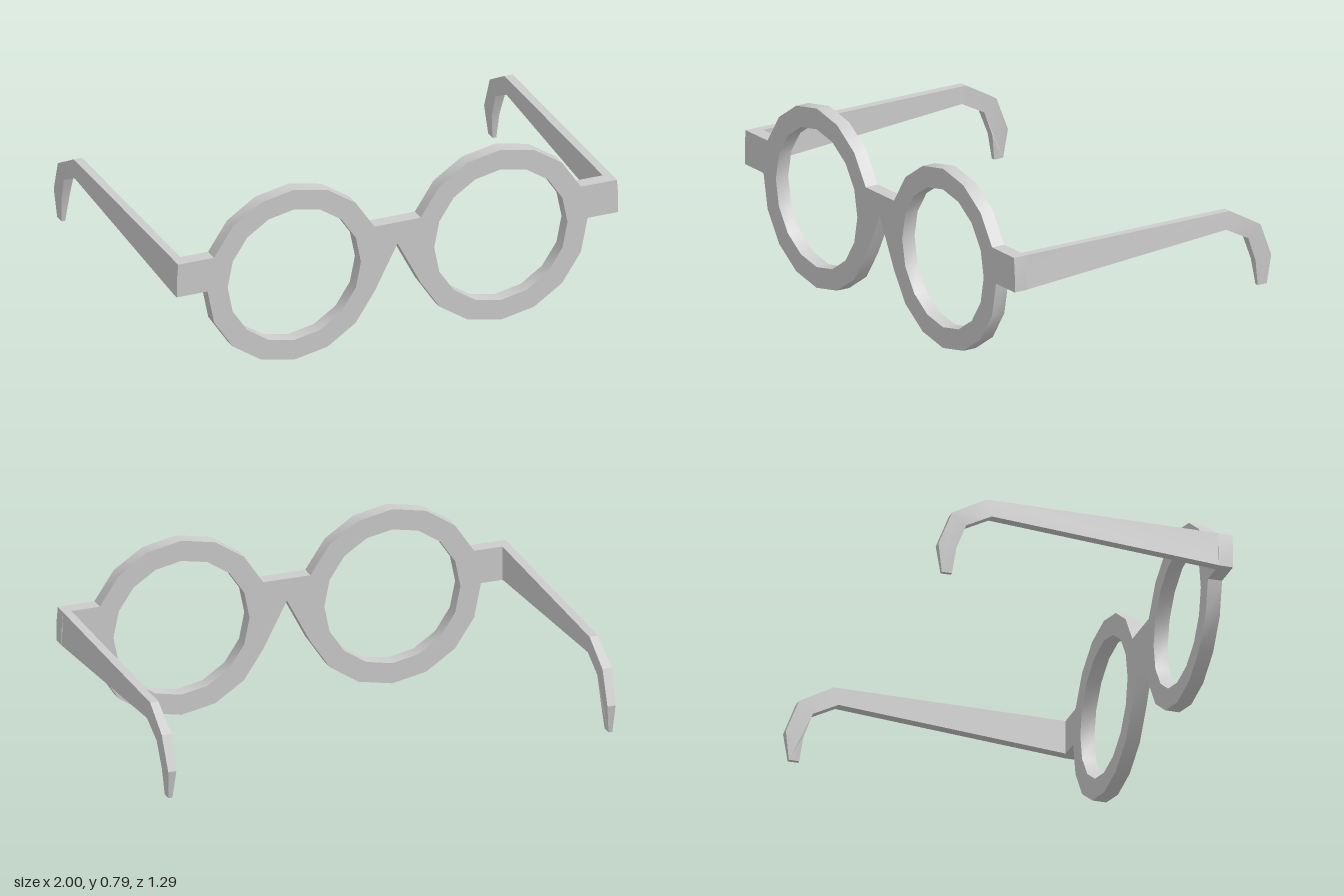
import * as THREE from 'three';
import { toCreasedNormals } from 'three/addons/utils/BufferGeometryUtils.js';

const RIM_X = 0.468, RIM_Y = 0.393, OUTER = 0.393, INNER = 0.302, SIDES = 16;
const FRONT_Z = 0.645, BACK_Z = 0.583;
const ARM_IN = 0.957, ARM_TOP = 0.994; // inner face and outer top edge of an arm

// Rim corner k, counted from the top towards the outside
function rimPoint(k, radius) {
  const a = (k / SIDES) * Math.PI * 2;
  return new THREE.Vector2(RIM_X + Math.sin(a) * radius, RIM_Y + Math.cos(a) * radius);
}

const mirror = (p) => new THREE.Vector2(-p.x, p.y);

// Both rims, bridge and hinge tabs as one plate with two holes
function frontGeometry() {
  const half = [];
  for (let k = -3; k <= 3; k++) half.push(rimPoint(k, OUTER));
  half.push(new THREE.Vector2(ARM_TOP, 0.543), new THREE.Vector2(1, 0.47), new THREE.Vector2(1, 0.393));
  for (let k = 4; k <= 11; k++) half.push(rimPoint(k, OUTER));
  const notch = new THREE.Vector2(0, 0.445);
  const shape = new THREE.Shape([...half, notch, ...half.map(mirror).reverse()]);

  // Holes run opposite to the clockwise outline so their walls face inwards
  const hole = [];
  for (let k = SIDES; k > 0; k--) hole.push(rimPoint(k, INNER));
  shape.holes.push(new THREE.Path(hole), new THREE.Path(hole.map(mirror).reverse()));

  const geometry = new THREE.ExtrudeGeometry(shape, { depth: FRONT_Z - BACK_Z, bevelEnabled: false });
  geometry.translate(0, 0, BACK_Z);
  return toCreasedNormals(geometry, 0.5);
}

// Side arm: tapered bar with a hooked, thinning ear end
function armGeometry(side) {
  const profile = [
    [BACK_Z, 0.543], [-0.435, 0.543], [-0.587, 0.458], [-0.645, 0.312], [-0.628, 0.187],
    [-0.583, 0.187], [-0.567, 0.3], [-0.526, 0.408], [-0.414, 0.466], [BACK_Z, 0.394],
  ].map(([z, y]) => new THREE.Vector2(-z, y));
  const geometry = new THREE.ExtrudeGeometry(new THREE.Shape(profile), { depth: 1, bevelEnabled: false });
  geometry.translate(0, 0, -0.5);
  geometry.rotateY(Math.PI / 2);

  // Place both faces: the outer one leans in at the top, and both close in at the tip
  const pos = geometry.attributes.position;
  for (let i = 0; i < pos.count; i++) {
    const y = pos.getY(i);
    const hook = pos.getZ(i) < -0.5 ? 1 : 0;
    const outer = y > 0.5 ? ARM_TOP : 1 - hook * 0.015 * THREE.MathUtils.clamp((0.42 - y) / 0.233, 0, 1);
    const inner = ARM_IN + hook * 0.011 * THREE.MathUtils.clamp((0.3 - y) / 0.113, 0, 1);
    pos.setX(i, side * (pos.getX(i) * side > 0 ? outer : inner));
  }
  return toCreasedNormals(geometry, 0.5);
}

export function createModel() {
  const material = new THREE.MeshStandardMaterial({ color: 0xcccccc });
  const group = new THREE.Group();
  group.name = 'glasses';

  const front = new THREE.Mesh(frontGeometry(), material);
  front.name = 'frontFrame';
  group.add(front);

  for (const side of [1, -1]) {
    const arm = new THREE.Mesh(armGeometry(side), material);
    arm.name = side > 0 ? 'leftArm' : 'rightArm';
    group.add(arm);
  }
  return group;
}
